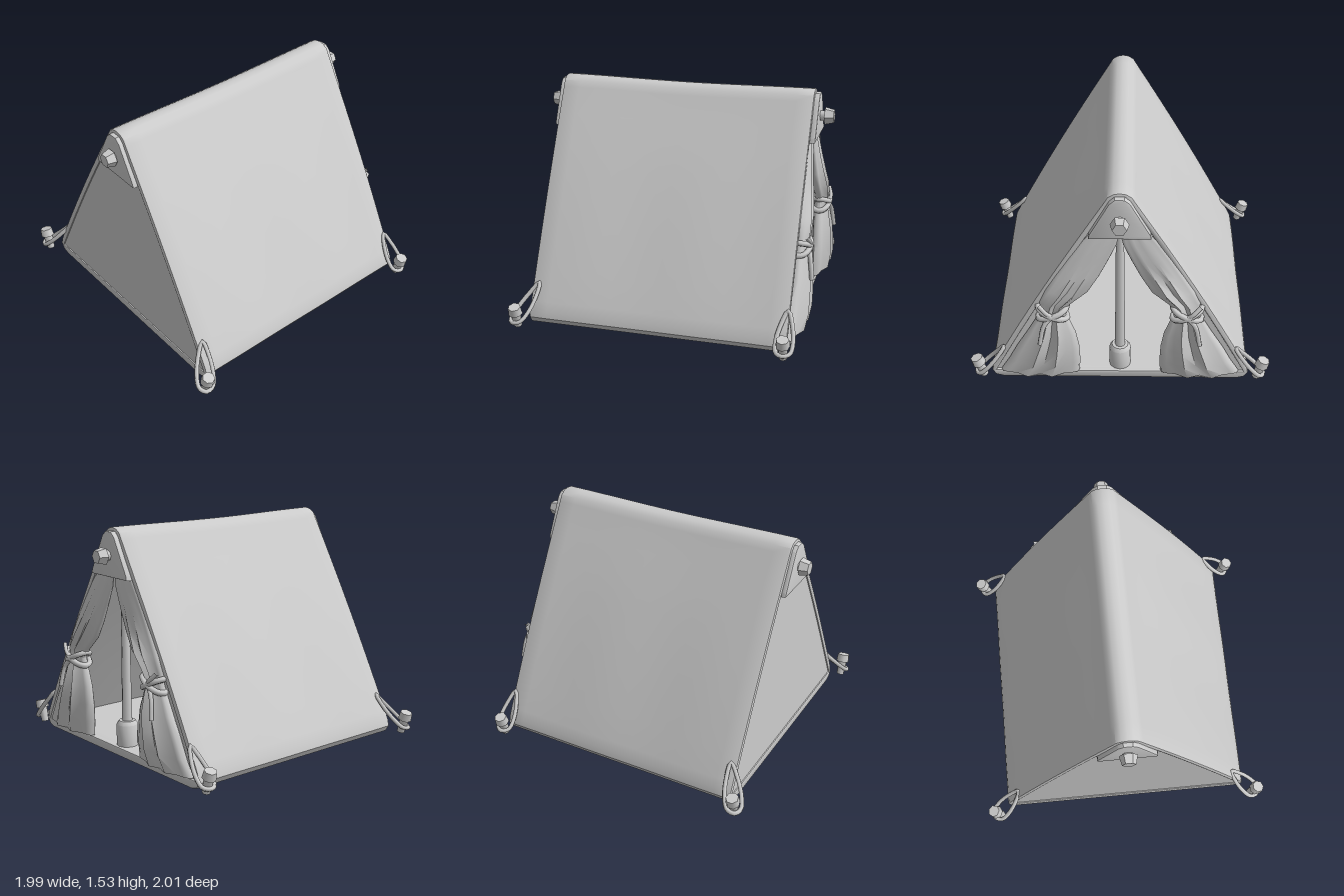
import * as THREE from 'three';
import { toCreasedNormals } from 'three/addons/utils/BufferGeometryUtils.js';

const canvas = new THREE.MeshStandardMaterial({ color: 0xcccccc });
canvas.name = 'plain grey';

// Half width of the sloping wall at height y
const wall = (y) => 0.08 + 0.556 * (1.5 - y) + 0.02 * Math.sin(Math.PI * y / 1.5);

// Right half of the triangular outline as [z, y]; inset 0 is the rounded outside
function halfOutline(inset) {
  const pts = [];
  if (inset === 0) pts.push([0.79, 0.01], [0.84, 0.025], [0.865, 0.065], [0.855, 0.11]);
  const low = inset === 0 ? 0.17 : 0.07;
  const high = inset === 0 ? 1.47 : 1.5 - Math.max(0, (1.15 * inset - 0.06) / 0.556);
  for (let i = 0; i <= 8; i++) {
    const y = low + (high - low) * i / 8;
    pts.push([wall(y) - 1.15 * inset, y]);
  }
  if (inset === 0) pts.push([0.075, 1.51], [0.04, 1.533], [0, 1.54]);
  return pts;
}

function outline(inset, path = new THREE.Shape()) {
  const half = halfOutline(inset);
  const other = half.filter((p) => p[0] > 0).reverse().map(([z, y]) => [-z, y]);
  path.setFromPoints([...half, ...other].map(([z, y]) => new THREE.Vector2(z, y)));
  return path;
}

// Extrude a z-y shape along x, from x0 to x1
function slab(shape, x0, x1, bevel = 0, steps = 1) {
  const g = new THREE.ExtrudeGeometry(shape, {
    depth: x1 - x0 - 2 * bevel, steps, bevelEnabled: bevel > 0,
    bevelThickness: bevel, bevelSize: bevel, bevelOffset: -bevel, bevelSegments: 2,
  });
  return g.rotateY(Math.PI / 2).translate(x0 + bevel, 0, 0);
}

function add(parent, name, geometry) {
  const mesh = new THREE.Mesh(geometry, canvas);
  mesh.name = name;
  parent.add(mesh);
  return mesh;
}

const tube = (points, radius, closed, segments = 28) => new THREE.TubeGeometry(
  new THREE.CatmullRomCurve3(points.map((p) => new THREE.Vector3(...p)), closed),
  segments, radius, 6, closed);

// Gathered curtain: closed cross-sections [y, inner z, outer z, bulge]
function curtainGeometry(side) {
  const levels = [
    [0.08, 0.27, 0.80, 0.07], [0.18, 0.265, 0.74, 0.085], [0.3, 0.27, 0.68, 0.085],
    [0.42, 0.29, 0.61, 0.08], [0.53, 0.33, 0.55, 0.065], [0.61, 0.36, 0.51, 0.05],
    [0.68, 0.31, 0.52, 0.06], [0.78, 0.20, 0.48, 0.06], [0.9, 0.13, 0.41, 0.045],
    [1.03, 0.07, 0.33, 0.03], [1.15, 0.02, 0.25, 0.02], [1.25, 0.0, 0.17, 0.005],
  ];
  const n = 20, pos = [], index = [];
  for (const [y, zi, zo, bulge] of levels) {
    for (let i = 0; i < n; i++) {
      const a = (i / n) * Math.PI * 2;
      const u = (1 - Math.cos(a)) / 2;
      const fold = 0.25 * bulge * Math.cos(u * Math.PI * 6);
      const s = Math.sin(a);
      pos.push(0.85 + (s > 0 ? s * (bulge + fold) : s * 0.03), y, side * (zi + (zo - zi) * u));
    }
  }
  const quad = (a, b, c, d) => index.push(...(side > 0 ? [a, c, b, b, c, d] : [a, b, c, b, d, c]));
  for (let j = 0; j < levels.length - 1; j++) {
    for (let i = 0; i < n; i++) {
      const k = (i + 1) % n;
      quad(j * n + i, j * n + k, (j + 1) * n + i, (j + 1) * n + k);
    }
  }
  // Hem closing the bottom
  for (let i = 1; i < n - 1; i++) index.push(...(side > 0 ? [0, i, i + 1] : [0, i + 1, i]));
  const g = new THREE.BufferGeometry();
  g.setAttribute('position', new THREE.Float32BufferAttribute(pos, 3));
  g.setIndex(index);
  g.computeVertexNormals();
  return toCreasedNormals(g, 1);
}

export function createModel() {
  const tent = new THREE.Group();
  tent.name = 'tent';

  // Canopy and floor as one hollow tube with a slightly sagging cloth
  const shell = outline(0);
  shell.holes.push(outline(0.04, new THREE.Path()));
  const canopy = slab(shell, -0.885, 0.86, 0.012, 16);
  const p = canopy.attributes.position;
  for (let i = 0; i < p.count; i++) {
    const x = p.getX(i), y = p.getY(i);
    const lift = Math.sin(Math.PI * Math.min(1, y / 1.54));
    p.setZ(i, p.getZ(i) * (1 + 0.008 * Math.sin(x * 8) * lift));
    if (y > 1.3) p.setY(i, y - 0.01 * Math.cos(x * 1.8) ** 2);
  }
  add(tent, 'canopy', toCreasedNormals(canopy, 0.6));

  // Closed rear wall and the flat border round the doorway
  add(tent, 'rearWall', slab(outline(0.03), -0.875, -0.845));
  const border = outline(0.03);
  border.holes.push(outline(0.1, new THREE.Path()));
  add(tent, 'doorBorder', slab(border, 0.825, 0.84));

  // Gable plates with hexagonal ridge-pole ends
  const plate = new THREE.Shape([[-0.195, 1.22], [0.195, 1.22], [0.19, 1.25], [0.065, 1.485],
    [0.03, 1.515], [-0.03, 1.515], [-0.065, 1.485], [-0.19, 1.25]]
    .map(([z, y]) => new THREE.Vector2(z, y)));
  for (const s of [-1, 1]) {
    const x = s < 0 ? -0.915 : 0.845;
    add(tent, 'gablePlate', toCreasedNormals(slab(plate, x, x + 0.05, 0.01), 0.5));
    const knob = new THREE.CylinderGeometry(0.045, 0.06, 0.06, 6).toNonIndexed();
    knob.computeVertexNormals();
    const end = add(tent, 'poleEnd', knob);
    end.rotation.z = -s * Math.PI / 2;
    end.position.set(s * 0.957, 1.36, 0);
  }
  const ridge = add(tent, 'ridgePole', new THREE.CylinderGeometry(0.035, 0.035, 1.88, 8));
  ridge.rotation.z = Math.PI / 2;
  ridge.position.y = 1.36;

  // Upright pole in its socket
  add(tent, 'uprightPole', new THREE.CylinderGeometry(0.024, 0.036, 1.24, 8))
    .position.set(0.77, 0.69, 0);
  const socket = new THREE.LatheGeometry([[0, 0.06], [0.072, 0.06], [0.072, 0.215], [0.055, 0.24], [0, 0.24]]
    .map(([r, y]) => new THREE.Vector2(r, y)), 12);
  add(tent, 'poleSocket', toCreasedNormals(socket, 0.6)).position.x = 0.77;

  for (const s of [-1, 1]) {
    // Curtain with crossed tie bands and hanging tails
    add(tent, 'curtain', curtainGeometry(s));
    for (const k of [-1, 1]) {
      const band = [];
      for (let i = 0; i < 10; i++) {
        const a = i / 10 * Math.PI * 2;
        band.push([0.86 + 0.065 * Math.sin(a), 0.605 + k * 0.045 * Math.cos(a),
          s * (0.435 + 0.095 * Math.cos(a))]);
      }
      add(tent, 'tieBand', tube(band, 0.02, true));
    }
    add(tent, 'tieTail', tube([[0.92, 0.59, s * 0.45], [0.935, 0.54, s * 0.49],
      [0.955, 0.40, s * 0.52]], 0.016, false, 8));
    add(tent, 'tieEnd', tube([[0.92, 0.6, s * 0.43], [0.93, 0.64, s * 0.47],
      [0.91, 0.69, s * 0.52]], 0.014, false, 8));

    // Corner pegs with rope loops
    for (const [px, ax] of [[-0.945, -0.84], [0.85, 0.85]]) {
      const peg = new THREE.Group();
      peg.name = 'peg';
      add(peg, 'pegShaft', new THREE.CylinderGeometry(0.035, 0.026, 0.13, 7)).position.y = -0.01;
      add(peg, 'pegHead', new THREE.CylinderGeometry(0.042, 0.047, 0.055, 7)).position.y = 0.055;
      peg.position.set(px, 0.095, s * 0.94);
      peg.rotation.x = s * 0.3;
      tent.add(peg);
      // Loop runs from the canopy corner round the outside of the peg
      const dx = px - ax, len = Math.hypot(dx, 0.19);
      const wx = 0.19 / len, wz = -dx / len;
      const loop = [[0, 0, 0.28], [0.3, 0.035, 0.21], [0.75, 0.055, 0.12], [1.05, 0.045, 0.07],
        [1.2, 0, 0.06], [1.05, -0.045, 0.07], [0.75, -0.055, 0.12], [0.3, -0.035, 0.21]]
        .map(([t, w, y]) => [ax + dx * t + wx * w, y, s * (0.77 + 0.165 * t + wz * w)]);
      add(tent, 'ropeLoop', tube(loop, 0.015, true, 32));
    }
  }
  return tent;
}
